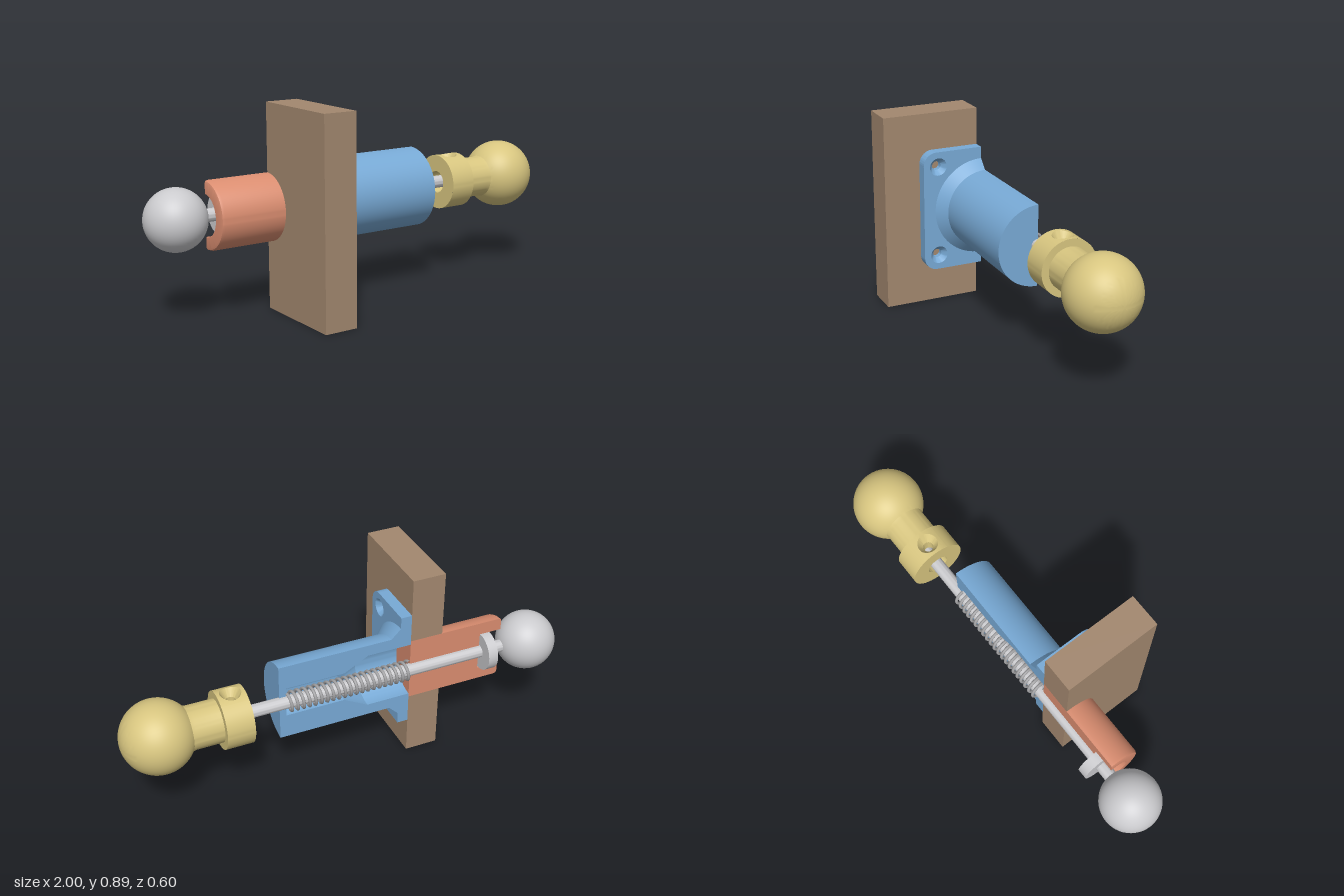
import * as THREE from 'three';
import { mergeGeometries, toCreasedNormals } from 'three/addons/utils/BufferGeometryUtils.js';

const mat = (name, color, side = THREE.FrontSide) => {
  const m = new THREE.MeshStandardMaterial({ color, side });
  m.name = name;
  return m;
};

export function createModel() {
  const blue = mat('blue housing', 0x78aad6);
  const wood = mat('brown panel', 0xa3886f);
  const copper = mat('copper bushing', 0xda8d70);
  const brass = mat('brass', 0xd8c680);
  const steel = mat('light steel', 0xcbcbce);
  const wire = mat('spring steel', 0xa2a2a4);

  // Everything is laid out around the shaft axis, which runs along x.
  const model = new THREE.Group();
  const axis = new THREE.Group();
  axis.name = 'plungerAssembly';
  axis.position.set(0, 0.446, -0.143);
  model.add(axis);

  const add = (name, geometry, material) => {
    const mesh = new THREE.Mesh(geometry, material);
    mesh.name = name;
    axis.add(mesh);
    return mesh;
  };

  // Profiles are [radius, x] pairs turned about the x axis.
  const turn = (profile, segments, start = 0, length = Math.PI * 2) => {
    const points = profile.map(([r, x]) => new THREE.Vector2(r, x));
    const g = new THREE.LatheGeometry(points, segments, start, length).rotateZ(-Math.PI / 2);
    return toCreasedNormals(g, 0.45);
  };

  // Half-turned solid with flat section faces on the cutting plane.
  const halfTurn = (profile) => {
    const parts = [turn([...profile, profile[0]], 48, -Math.PI / 2, Math.PI)];
    for (const s of [1, -1]) {
      const shape = new THREE.Shape(profile.map(([r, x]) => new THREE.Vector2(x, s * r)));
      parts.push(new THREE.ShapeGeometry(shape).rotateX(Math.PI).toNonIndexed());
    }
    return mergeGeometries(parts);
  };

  // Plate drawn in the (-z, y) plane and extruded along x.
  const plate = (shape, x, depth) => {
    const g = new THREE.ExtrudeGeometry(shape, { depth, bevelEnabled: false, curveSegments: 32 });
    return toCreasedNormals(g.rotateY(Math.PI / 2).translate(x, 0, 0), 0.45);
  };

  const plateShape = (bottom, top, width, corner, bore) => {
    const s = new THREE.Shape();
    s.moveTo(0, top);
    s.lineTo(corner - width, top);
    if (corner) s.absarc(corner - width, top - corner, corner, Math.PI / 2, Math.PI, false);
    s.lineTo(-width, bottom + corner);
    if (corner) s.absarc(corner - width, bottom + corner, corner, Math.PI, Math.PI * 1.5, false);
    s.lineTo(0, bottom);
    s.lineTo(0, -bore);
    s.absarc(0, 0, bore, -Math.PI / 2, Math.PI / 2, true);
    return s;
  };

  // Mounting panel, cut through the bushing bore
  add('mountingPanel', plate(plateShape(-0.446, 0.445, 0.443, 0, 0.147), -0.44, 0.15), wood);

  // Flange with two countersunk screw holes
  const flange = plateShape(-0.277, 0.277, 0.278, 0.06, 0.2);
  for (const s of [1, -1]) {
    const hole = new THREE.Path();
    hole.absarc(-0.208, s * 0.209, 0.04, 0, Math.PI * 2, true);
    flange.holes.push(hole);
    const sink = turn([[0.04, -0.24], [0.02, -0.265], [0.02, -0.29]], 32);
    add('screwHole', sink.translate(0, s * 0.209, 0.208), blue);
  }
  add('housingFlange', plate(flange, -0.29, 0.05), blue);

  // Sectioned housing with stepped bore
  add('housing', halfTurn([
    [0.13, -0.29], [0.2, -0.29], [0.2, -0.24], [0.224, -0.24], [0.181, -0.197],
    [0.181, 0.315], [0.03, 0.315], [0.03, 0.285], [0.07, 0.285], [0.07, 0.02], [0.13, -0.09],
  ]), blue);

  // Sectioned bushing, counterbored at its outer end
  add('bushing', halfTurn([
    [0.09, -0.733], [0.135, -0.733], [0.143, -0.73], [0.147, -0.72], [0.147, -0.29],
    [0.03, -0.29], [0.03, -0.63], [0.09, -0.63],
  ]), copper);

  // Shaft, stop collar and end ball
  add('shaft', turn([[0, -0.76], [0.028, -0.76], [0.028, 0.56], [0, 0.56]], 32), steel);
  add('stopCollar', turn([[0, -0.68], [0.086, -0.68], [0.086, -0.635], [0, -0.635]], 48), steel);
  add('endBall', new THREE.SphereGeometry(0.132, 48, 32).translate(-0.867, 0, 0), steel);

  // Compression spring
  const turns = 21;
  const coil = new THREE.Curve();
  coil.getPoint = (t, out = new THREE.Vector3()) => {
    const a = t * turns * Math.PI * 2;
    return out.set(-0.285 + t * 0.565, 0.04 * Math.cos(a), 0.04 * Math.sin(a));
  };
  add('spring', new THREE.TubeGeometry(coil, turns * 24, 0.007, 8), wire);

  // Knob: recessed face, neck and ball
  add('knobFace', turn([[0, 0.56], [0.05, 0.56], [0.05, 0.465], [0.125, 0.465]], 64), brass);
  const knob = [[0.125, 0.585], [0.093, 0.585], [0.093, 0.7]];
  const from = Math.asin(0.096 / 0.157);
  for (let i = 0; i <= 32; i++) {
    const a = from + (Math.PI - from) * i / 32;
    knob.push([Math.max(0, 0.157 * Math.sin(a)), 0.84 - 0.157 * Math.cos(a)]);
  }
  add('knobBall', turn(knob, 64), brass);

  // Knob collar: plain wall, plus a patch on top around the set-screw hole
  const R = 0.125, half = 0.06, gap = Math.asin(half / R);
  add('knobCollar', turn([[R, 0.465], [R, 0.585]], 56,
    Math.PI * 1.5 + gap, Math.PI * 2 - 2 * gap), brass);
  const N = 64, rim = 0.045, pos = [], index = [];
  const rings = [0, 0.25, 0.5, 0.75, 1].map((k) => ({ k }));
  rings.push({ r: 0.022, y: 0.085 }, { r: 0.022, y: 0.03 });
  rings.forEach(({ k, r, y }, row) => {
    for (let j = 0; j <= N; j++) {
      const t = (j % N) / N * Math.PI * 2, c = Math.cos(t), s = Math.sin(t);
      const square = half / Math.max(Math.abs(c), Math.abs(s));
      const d = r ?? square + (rim - square) * k;
      pos.push(0.525 + d * c, y ?? Math.sqrt(R * R - d * d * s * s), d * s);
      if (row && j < N) {
        const b = row * (N + 1) + j, a = b - N - 1;
        index.push(a, b, a + 1, b, b + 1, a + 1);
      }
    }
  });
  const patch = new THREE.BufferGeometry();
  patch.setAttribute('position', new THREE.Float32BufferAttribute(pos, 3));
  patch.setIndex(index);
  add('setScrewHole', toCreasedNormals(patch, 0.45), brass);

  return model;
}
